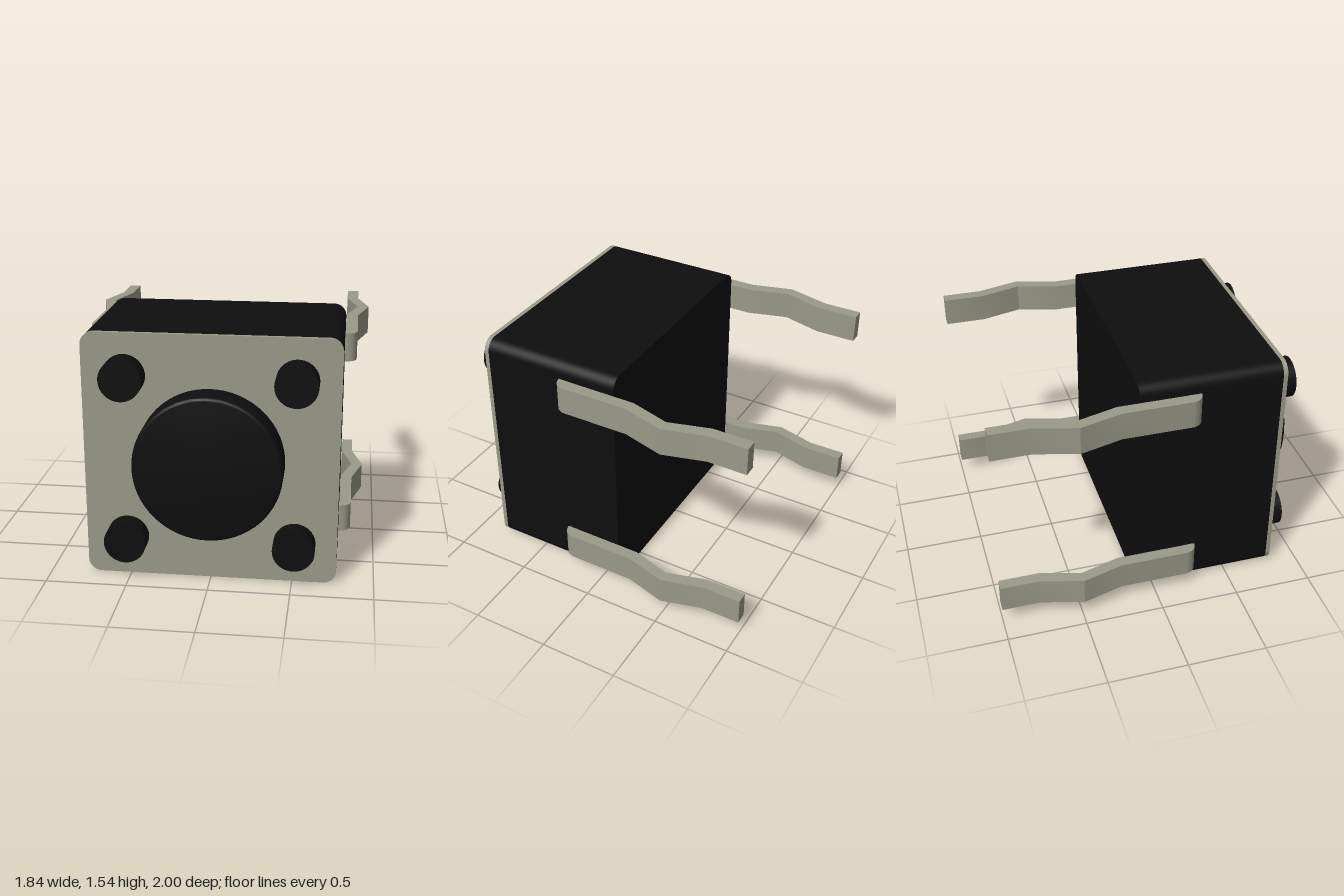
import * as THREE from 'three';
import { toCreasedNormals } from 'three/addons/utils/BufferGeometryUtils.js';

const SIZE = 1.54, MID = SIZE / 2;

// Square with rounded corners, centred on the origin
function roundedSquare(size, r) {
  const h = size / 2, s = new THREE.Shape();
  s.absarc(h - r, h - r, r, 0, Math.PI / 2);
  s.absarc(-h + r, h - r, r, Math.PI / 2, Math.PI);
  s.absarc(-h + r, -h + r, r, Math.PI, Math.PI * 1.5);
  s.absarc(h - r, -h + r, r, Math.PI * 1.5, Math.PI * 2);
  s.closePath();
  return s;
}

function extrude(shape, depth) {
  const g = new THREE.ExtrudeGeometry(shape, { depth, bevelEnabled: false, curveSegments: 10 });
  return toCreasedNormals(g, 0.4);
}

// Crimped leg outline in x and z, with a rounded bend into the housing
function legShape(side) {
  const s = new THREE.Shape(), r = 0.07;
  s.moveTo(side * 0.6, 0.278);
  s.lineTo(side * (0.846 - r), 0.278);
  s.quadraticCurveTo(side * 0.836, 0.268, side * 0.846, 0.278 - r);
  [[0.846, -0.228], [0.918, -0.49], [0.846, -0.755], [0.846, -1], [0.771, -1],
    [0.771, -0.745], [0.843, -0.49], [0.771, -0.238], [0.771, 0.2], [0.6, 0.2]]
    .forEach(([x, z]) => s.lineTo(side * x, z));
  s.closePath();
  return s;
}

export function createModel() {
  const model = new THREE.Group();
  const plastic = new THREE.MeshStandardMaterial({ color: 0x0e0e0e });
  plastic.name = 'black plastic';
  const metal = new THREE.MeshStandardMaterial({ color: 0x9a9a89 });
  metal.name = 'grey metal';

  const add = (name, geometry, material, x, y, z) => {
    const mesh = new THREE.Mesh(geometry, material);
    mesh.name = name;
    mesh.position.set(x, y, z);
    model.add(mesh);
  };

  // Housing and metal cover
  add('housing', extrude(roundedSquare(SIZE, 0.08), 0.89), plastic, 0, MID, -0.1);
  add('coverPlate', extrude(roundedSquare(SIZE, 0.08), 0.028), metal, 0, MID, 0.79);

  // Round push button with a softened front edge
  const profile = [new THREE.Vector2(0.447, 0)];
  for (let i = 0; i <= 5; i++) {
    const a = i / 5 * Math.PI / 2;
    profile.push(new THREE.Vector2(0.427 + 0.02 * Math.cos(a), 0.18 + 0.02 * Math.sin(a)));
  }
  profile.push(new THREE.Vector2(0, 0.2));
  const button = toCreasedNormals(new THREE.LatheGeometry(profile, 64).rotateX(Math.PI / 2), 0.5);
  add('pushButton', button, plastic, 0, MID, 0.8);

  // Corner pegs and legs
  const peg = new THREE.CylinderGeometry(0.128, 0.128, 0.145, 40).rotateX(Math.PI / 2);
  for (const side of [-1, 1]) {
    const leg = extrude(legShape(side), 0.178).rotateX(Math.PI / 2);
    for (const level of [-1, 1]) {
      add('cornerPeg', peg, plastic, side * 0.512, MID + level * 0.514, 0.8725);
      add('leg', leg, metal, 0, MID + level * 0.577 + 0.089, 0);
    }
  }
  return model;
}
